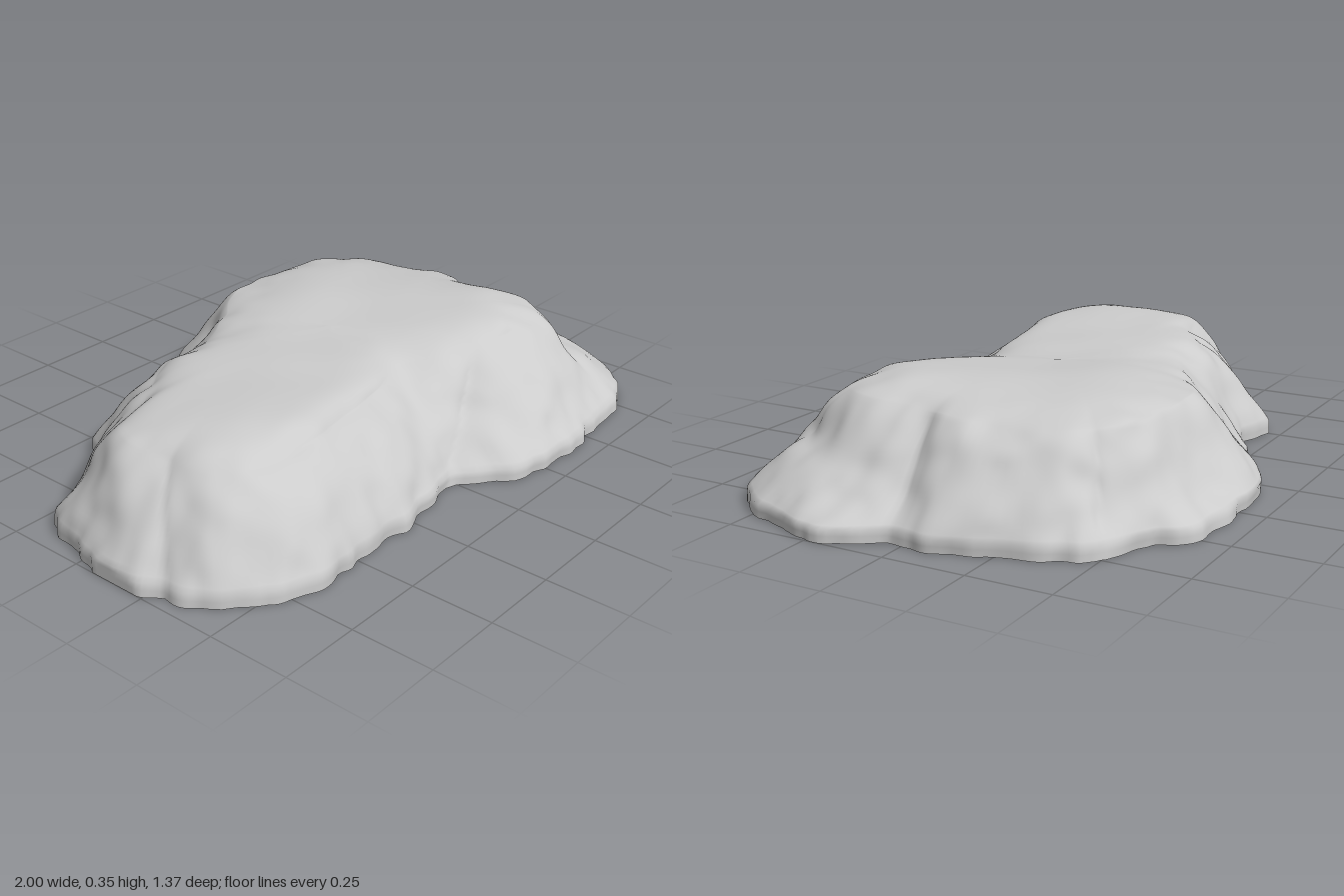
import * as THREE from 'three';

// Matching pairs around the rock: ground rim (x, z) and top shoulder (x, z)
const RIM = [
  [1, .2], [.975, .34], [.84, .56], [.72, .645], [.5, .665], [.34, .68], [.15, .65], [-.05, .55],
  [-.2, .56], [-.4, .56], [-.57, .58], [-.75, .54], [-.9, .42], [-.96, .3], [-1, .15], [-.97, -.02],
  [-.91, -.17], [-.75, -.26], [-.62, -.33], [-.52, -.44], [-.37, -.435], [-.22, -.48], [-.08, -.56], [0, -.64],
  [.13, -.68], [.35, -.665], [.52, -.645], [.6, -.58], [.76, -.51], [.83, -.38], [.93, -.1], [.92, .01],
];
const SHOULDER = [
  [.68, .14], [.68, .25], [.64, .34], [.59, .39], [.46, .42], [.34, .4], [.2, .34], [.06, .27],
  [-.12, .33], [-.38, .38], [-.55, .39], [-.68, .37], [-.77, .29], [-.79, .2], [-.8, .12], [-.78, .02],
  [-.73, -.08], [-.62, -.14], [-.53, -.21], [-.43, -.26], [-.3, -.28], [-.14, -.31], [0, -.38], [.08, -.44],
  [.18, -.47], [.35, -.48], [.47, -.465], [.55, -.43], [.62, -.37], [.67, -.27], [.7, -.09], [.69, .03],
];
// Cracks up the sides: position at rim, position at shoulder, depth, width
const CRACKS = [
  [7, 5.4, .035, .35], [31.2, 31.2, .03, .4], [3.2, 2.4, .015, .35],
  [13, 13.5, .015, .3], [22.6, 22, .015, .4], [28, 27.6, .025, .3],
];
// Slopes that sag inward: position around the loop, depth, width
const SAGS = [[.2, .15, 1.6], [25.3, .17, 2]];
const N = RIM.length, AROUND = 320, SIDE = 26, TOP = 30;
const CENTRE = new THREE.Vector3(.08, 0, -.02);

const gauss = (d, w) => Math.exp(-(d * d) / (w * w));
const loop = pts => new THREE.CatmullRomCurve3(pts.map(([x, z]) => new THREE.Vector3(x, 0, z)), true);
// Distance between two positions around the closed loop
const around = (a, b) => Math.abs(((a - b + N * 1.5) % N) - N / 2);

// Smooth seeded value noise, about -1..1
function hash(i, j, k) {
  const s = Math.sin(i * 127.1 + j * 311.7 + k * 74.7) * 43758.5453;
  return (s - Math.floor(s)) * 2 - 1;
}
function noise(x, y, z) {
  const c = [x, y, z].map(Math.floor);
  const f = [x - c[0], y - c[1], z - c[2]].map(t => t * t * (3 - 2 * t));
  let sum = 0;
  for (let n = 0; n < 8; n++) {
    const b = [n & 1, (n >> 1) & 1, n >> 2];
    const w = b.reduce((p, v, a) => p * (v ? f[a] : 1 - f[a]), 1);
    sum += w * hash(c[0] + b[0], c[1] + b[1], c[2] + b[2]);
  }
  return sum;
}

// Gently rolling top surface
function topHeight(x, z) {
  return .318 + .04 * gauss(Math.hypot(x - .5, z - .26), .28) + .02 * gauss(Math.hypot(x + .58, z - .12), .36)
    + .02 * gauss(Math.hypot(x - .35, z + .28), .34) + .005 * noise(x * 5, 0, z * 5);
}

function createRockGeometry() {
  const rim = loop(RIM), shoulder = loop(SHOULDER);
  const positions = [], index = [], rows = SIDE + TOP;
  const p = new THREE.Vector3(), out = new THREE.Vector3();
  const ROUNDING = .04;
  for (let i = 0; i < AROUND; i++) {
    // Same control row on both loops
    const u = i / AROUND, a = rim.getPoint(u), b = shoulder.getPoint(u), row = u * N;
    out.subVectors(a, b).normalize();
    for (let j = 0; j < rows; j++) {
      const t = Math.min(j / SIDE, 1);
      let y;
      if (j <= SIDE) {
        // Short upright foot, then a rounded slope to the shoulder
        const s = Math.max(0, (j - 2) / (SIDE - 2));
        p.lerpVectors(a, b, s);
        let rise = .14 + .86 * (.45 * s + .55 * Math.sin(s * Math.PI / 2));
        for (const [centre, depth, width] of SAGS) {
          rise -= depth * gauss(around(row, centre), width) * Math.sin(Math.PI * s);
        }
        // Low ledge around the front left corner
        rise -= .12 * gauss(around(row, 2), 1.5) * gauss(s - .62, .18);
        y = j < 2 ? j * .02 : (topHeight(p.x, p.z) - ROUNDING) * rise;
      } else {
        // Rounded edge easing into the top
        p.lerpVectors(b, CENTRE, ((j - SIDE) / TOP) ** 1.3);
        y = topHeight(p.x, p.z) - ROUNDING * Math.exp(-p.distanceTo(b) / .08);
      }
      // Cracks and weathering fade out over the top
      const fade = j <= SIDE ? 1 : Math.exp(-p.distanceTo(b) / .09);
      let push = .018 * noise(p.x * 6, y * 7, p.z * 6) + .01 * noise(p.x * 14 + 9, y * 10, p.z * 14);
      for (const [u0, u1, depth, width] of CRACKS) {
        const d = around(row, u0 + (u1 - u0) * t);
        push -= depth * Math.exp(-d / width) * Math.sin(Math.PI * (.2 + .75 * t));
      }
      // Crumbled foot
      push += .01 * noise(p.x * 24, 3, p.z * 24) * (1 - t) ** 4;
      push *= fade;
      const drop = j > 1 ? push * .45 * t : 0;
      positions.push(
        THREE.MathUtils.clamp(p.x + out.x * push, -1, 1), Math.max(0, y + drop), p.z + out.z * push);
    }
  }
  const tip = positions.length / 3;
  positions.push(CENTRE.x, topHeight(CENTRE.x, CENTRE.z), CENTRE.z);
  for (let i = 0; i < AROUND; i++) {
    const r = i * rows, q = ((i + 1) % AROUND) * rows;
    for (let j = 0; j < rows - 1; j++) {
      index.push(r + j, r + j + 1, q + j, q + j, r + j + 1, q + j + 1);
    }
    index.push(r + rows - 1, tip, q + rows - 1);
  }
  const geometry = new THREE.BufferGeometry();
  geometry.setAttribute('position', new THREE.Float32BufferAttribute(positions, 3));
  geometry.setIndex(index);
  geometry.computeVertexNormals();
  return geometry;
}

export function createModel() {
  const group = new THREE.Group();
  group.name = 'flatRock';
  // Hollow shell, open underneath
  const material = new THREE.MeshStandardMaterial({ color: 0xcccccc, side: THREE.DoubleSide });
  const rock = new THREE.Mesh(createRockGeometry(), material);
  rock.name = 'rockShell';
  group.add(rock);
  return group;
}
